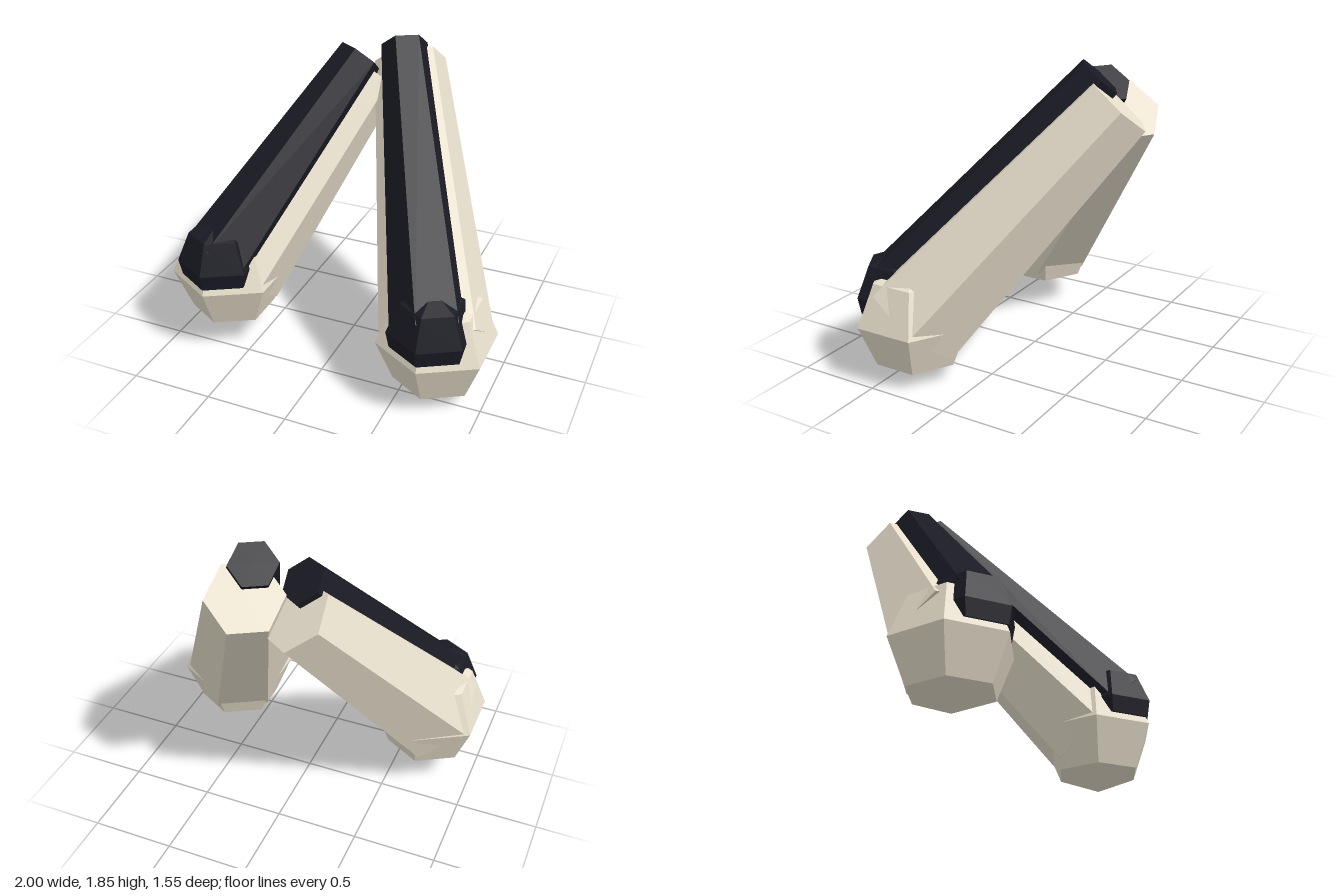
import * as THREE from 'three';

const cream = new THREE.MeshStandardMaterial({ color: 0xe8dfcc, flatShading: true });
const dark = new THREE.MeshStandardMaterial({ color: 0x1a1a24, flatShading: true });

// Offset of the dark armour from the limb it covers
const ARMOUR_OFFSET = new THREE.Vector3(0, 0.14, 0.115);

function addMesh(parent, name, geometry, material) {
  const mesh = new THREE.Mesh(geometry, material);
  mesh.name = name;
  parent.add(mesh);
  return mesh;
}

// Tapered six-sided limb between two points, one corner pointing level sideways
function limbGeometry(from, to, rFrom, rTo) {
  const axis = to.clone().sub(from);
  const geometry = new THREE.CylinderGeometry(rTo, rFrom, axis.length(), 6);
  axis.normalize();
  const side = new THREE.Vector3().crossVectors(axis, new THREE.Vector3(0, 1, 0)).normalize();
  const across = new THREE.Vector3().crossVectors(axis, side);
  const middle = from.clone().add(to).multiplyScalar(0.5);
  return geometry.applyMatrix4(new THREE.Matrix4().makeBasis(across, axis, side).setPosition(middle));
}

// Faceted cap with a flat underside
function capGeometry(r) {
  const c = r * Math.SQRT1_2;
  const profile = [[0, -0.1], [r * 0.924, -0.1], [r, 0], [c, c], [0, r]];
  return new THREE.LatheGeometry(profile.map(([x, y]) => new THREE.Vector2(x, y)), 6);
}

function makeLeg(name, foot, hip) {
  const leg = new THREE.Group();
  leg.name = name;

  // Pale limb and rounded foot
  addMesh(leg, 'limb', limbGeometry(foot, hip, 0.34, 0.22), cream);
  const ball = new THREE.SphereGeometry(0.36, 6, 4).rotateY(Math.PI / 6);
  addMesh(leg, 'foot', ball, cream).position.copy(foot);

  // Dark armour along the front, ending in a toe cap
  const toe = foot.clone().add(ARMOUR_OFFSET);
  const top = hip.clone().add(ARMOUR_OFFSET);
  addMesh(leg, 'armour', limbGeometry(toe, top, 0.24, 0.14), dark);
  addMesh(leg, 'toeCap', capGeometry(0.26), dark).position.copy(toe);
  return leg;
}

export function createModel() {
  const model = new THREE.Group();
  model.name = 'legs';
  model.add(
    makeLeg('leftLeg', new THREE.Vector3(0.69, 0.36, 0.4), new THREE.Vector3(0.12, 1.633, -0.6)),
    makeLeg('rightLeg', new THREE.Vector3(-0.69, 0.457, 0.325), new THREE.Vector3(-0.13, 1.545, -0.525))
  );
  return model;
}
